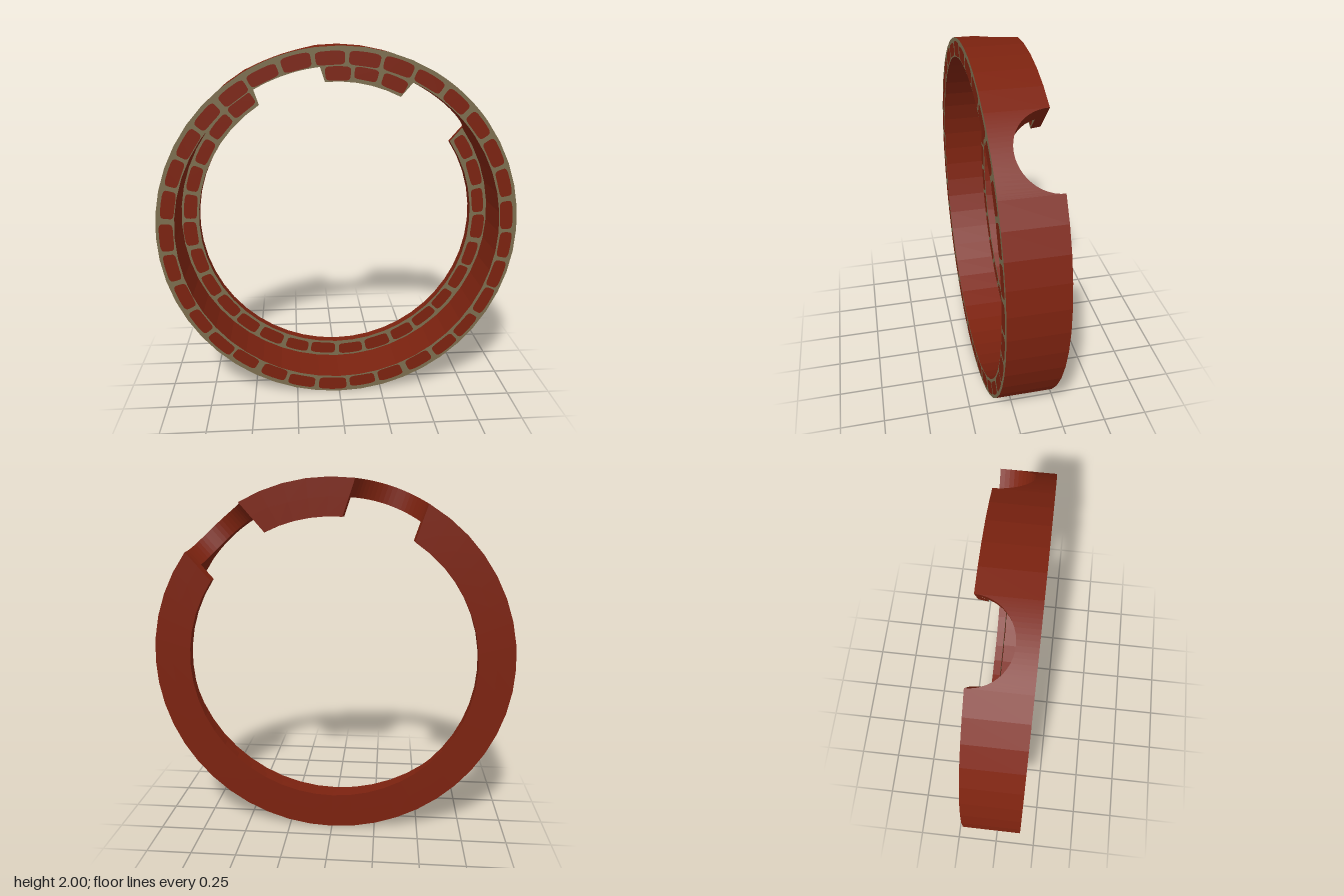
import * as THREE from 'three';
import { mergeGeometries } from 'three/addons/utils/BufferGeometryUtils.js';

const R_OUT = 1, R_MID = 0.9, R_IN = 0.8;      // outer wall, inner wall, lip opening
const Z_FRONT = 0.15, Z_BACK = -0.15, Z_LIP = -0.1;
const HOLE = 0.2;                              // radius of the radial cut-outs
const A = THREE.MathUtils.degToRad(49);        // left cut-out
const B = THREE.MathUtils.degToRad(108.5);     // right cut-out
const FACET = (Math.PI * 2) / 48;

let seed = 7;
const rnd = () => ((seed = (seed * 16807) % 2147483647) / 2147483647);

// A section is four corners [angle, radius, z]: outer front, outer back, inner back, inner front.
const point = ([a, r, z]) => [r * Math.cos(a), 1 + r * Math.sin(a), z];

// Section where a plane parallel to a cut-out's axis, offset by d, crosses the wall
function wallSection(axis, d, zBack) {
  const o = axis + Math.asin(d / R_OUT), i = axis + Math.asin(d / R_MID);
  return [[o, R_OUT, Z_FRONT], [o, R_OUT, zBack], [i, R_MID, zBack], [i, R_MID, Z_FRONT]];
}

// Section where the lip meets the round side of a cut-out
function lipSection(axis, side) {
  const corner = (r, z) =>
    [axis + side * Math.asin(Math.sqrt(HOLE * HOLE - (z - Z_BACK) ** 2) / r), r, z];
  const r = R_MID + 0.008;
  return [corner(r, Z_LIP), corner(r, Z_BACK), corner(R_IN, Z_BACK), corner(R_IN, Z_LIP)];
}

// Evenly spaced sections between two given ones
function span(from, to) {
  const n = Math.max(1, Math.round((to[0][0] - from[0][0]) / FACET));
  return Array.from({ length: n + 1 }, (_, k) =>
    from.map((c, j) => [c[0] + ((to[j][0] - c[0]) * k) / n, c[1], c[2]]));
}

function toGeometry(positions) {
  const g = new THREE.BufferGeometry();
  g.setAttribute('position', new THREE.Float32BufferAttribute(positions, 3));
  g.computeVertexNormals();
  return g;
}

// Skin chosen sides of a row of sections (side 3 is the front face)
function skin(sections, sides, capped = false) {
  const out = [];
  const quad = (a, b, c, d) => [a, b, d, b, c, d].forEach((v) => out.push(...point(v)));
  for (let k = 0; k < sections.length - 1; k++) {
    const s = sections[k], t = sections[k + 1];
    for (const j of sides) {
      const m = (j + 1) % 4;
      quad(s[j], s[m], t[m], t[j]);
    }
  }
  if (capped) {
    const s = sections[0], e = sections[sections.length - 1];
    quad(s[3], s[2], s[1], s[0]);
    quad(e[0], e[1], e[2], e[3]);
  }
  return toGeometry(out);
}

// Row of rounded bricks, as thin faces bent around the ring
function brickRow(start, end, radius, z, pitch) {
  const n = Math.round((end - start) / pitch), step = (end - start) / n, parts = [];
  const soft = (v) => Math.sign(v) * Math.abs(v) ** 0.4;
  for (let k = 0; k < n; k++) {
    const mid = start + (k + 0.5) * step + (rnd() - 0.5) * 0.012;
    const half = step * (0.41 + rnd() * 0.05), high = 0.034 + rnd() * 0.005;
    const rad = radius + (rnd() - 0.5) * 0.012;
    const pts = [];
    for (let i = 0; i < 24; i++) {
      const t = (i / 24) * Math.PI * 2;
      const a = mid + half * soft(Math.cos(t)), r = rad + high * soft(Math.sin(t));
      pts.push(new THREE.Vector2(r * Math.cos(a), 1 + r * Math.sin(a)));
    }
    parts.push(new THREE.ShapeGeometry(new THREE.Shape(pts)).translate(0, 0, z + 0.002));
  }
  return mergeGeometries(parts);
}

export function createModel() {
  const group = new THREE.Group();
  const brick = new THREE.MeshStandardMaterial({ color: 0x7b220f });
  brick.name = 'brick red';
  const mortar = new THREE.MeshStandardMaterial({ color: 0x7b6d4e });
  mortar.name = 'mortar';
  const add = (name, geometry, material) => {
    const mesh = new THREE.Mesh(geometry, material);
    mesh.name = name;
    group.add(mesh);
  };

  // Outer wall, its back edge scooped away at both cut-outs
  const cutout = (axis) => Array.from({ length: 25 }, (_, k) => {
    const t = (k / 24) * Math.PI;
    return wallSection(axis, -HOLE * Math.cos(t), Z_BACK + HOLE * Math.sin(t));
  });
  const cutA = cutout(A), cutB = cutout(B);
  const nextA = cutA[0].map(([a, r, z]) => [a + Math.PI * 2, r, z]);
  const wall = [...cutA, ...span(cutA[24], cutB[0]).slice(1, -1),
    ...cutB, ...span(cutB[24], nextA).slice(1)];
  add('outerWall', skin(wall, [0, 1, 2]), brick);
  add('wallFrontMortar', skin(wall, [3]), mortar);
  add('wallFrontBricks', brickRow(0, Math.PI * 2, 0.943, Z_FRONT, 0.192), brick);

  // Inner lip at the back, interrupted by the cut-outs
  const arcs = [['lipTop', A, B], ['lipMain', B, A + Math.PI * 2]];
  for (const [name, from, to] of arcs) {
    const lip = span(lipSection(from, 1), lipSection(to, -1));
    add(name, skin(lip, [1, 2], true), brick);
    add(name + 'Mortar', skin(lip, [3]), mortar);
    add(name + 'Bricks', brickRow(from + 0.235, to - 0.235, 0.85, Z_LIP, 0.196), brick);
  }
  return group;
}
